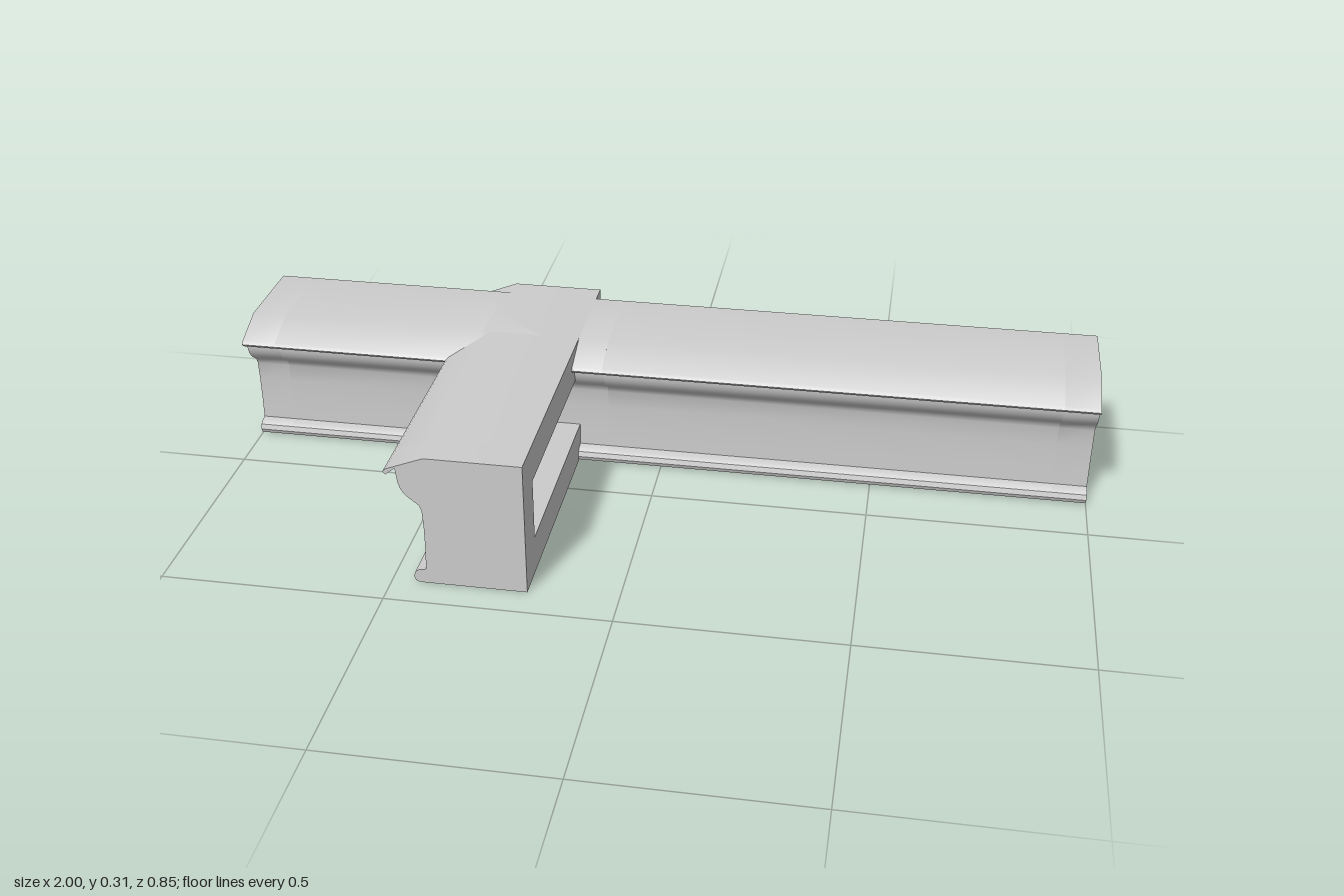
import * as THREE from 'three';
import { toCreasedNormals } from 'three/addons/utils/BufferGeometryUtils.js';

const HEIGHT = 0.315;

// Moulded face, bottom to top: [distance from flat back, height]
const MOULDING = [
  [0.238, 0], [0.247, 0.004], [0.251, 0.014], [0.247, 0.026], [0.238, 0.032], [0.223, 0.035],
  [0.221, 0.085], [0.221, 0.14], [0.223, 0.185], [0.228, 0.198], [0.247, 0.213],
  [0.259, 0.224], [0.266, 0.236], [0.271, 0.25], [0.272, 0.26], [0.275, 0.285],
  [0.296, 0.268], [0.302, 0.275], [0.295, 0.282], [0.212, HEIGHT],
];
// Rectangular pocket, open at the back and closed by the moulded skin
const POCKET = [
  [0, 0.23], [0.258, 0.23], [0.254, 0.224], [0.243, 0.216], [0.224, 0.201], [0.219, 0.187],
  [0.217, 0.14], [0.217, 0.087], [0, 0.087],
];

const solidProfile = [[0, 0], ...MOULDING, [0, HEIGHT]];
const hollowProfile = [...solidProfile, ...POCKET];

function segment(profile, from, to, turn, material) {
  const shape = new THREE.Shape(profile.map(([d, y]) => new THREE.Vector2(d, y)));
  const geo = new THREE.ExtrudeGeometry(shape, { depth: to - from, bevelEnabled: false });
  geo.translate(0, 0, -to); // the turn reverses the length axis
  geo.rotateY(turn);
  return new THREE.Mesh(toCreasedNormals(geo, 0.6), material);
}

// A beam made of alternating solid and hollow stretches between the given stops
function beam(name, stops, turn, material) {
  const group = new THREE.Group();
  group.name = name;
  for (let i = 0; i < stops.length - 1; i++) {
    const hollow = i % 2 === 1;
    const mesh = segment(hollow ? hollowProfile : solidProfile, stops[i], stops[i + 1], turn, material);
    mesh.name = hollow ? 'hollowStretch' : 'solidStretch';
    group.add(mesh);
  }
  return group;
}

export function createModel() {
  const model = new THREE.Group();
  model.name = 'crossedMouldings';
  const material = new THREE.MeshStandardMaterial({ color: 0xcccccc });

  // Long beam, moulding facing the front
  const longBeam = beam('longBeam', [-1, -0.92, -0.43, -0.13, 0.92, 1], -Math.PI / 2, material);
  longBeam.position.z = -0.375;

  // Short crossing beam, moulding facing -x
  const crossBeam = beam('crossBeam', [-0.427, -0.155, 0.342, 0.427], Math.PI, material);
  crossBeam.position.x = -0.2;

  model.add(longBeam, crossBeam);
  return model;
}
